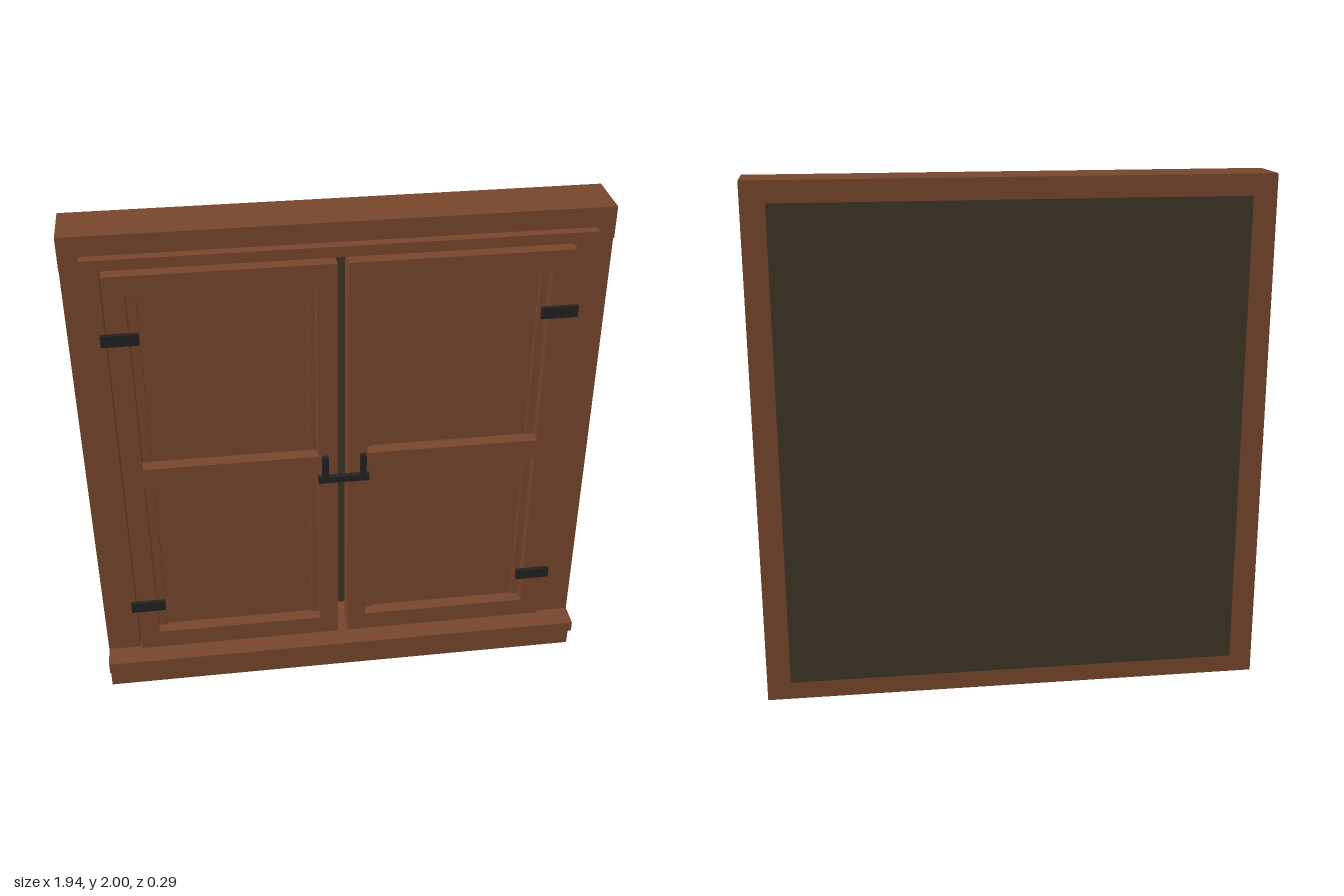
import * as THREE from 'three';

export function createModel() {
  const model = new THREE.Group();
  model.name = 'shutteredWindow';
  const wood = new THREE.MeshStandardMaterial({ name: 'brownWood', color: 0x7a472d });
  const olive = new THREE.MeshStandardMaterial({ name: 'darkOlive', color: 0x403626 });
  const iron = new THREE.MeshStandardMaterial({ name: 'blackIron', color: 0x222222 });

  // box given by its limits on each axis
  const box = (parent, name, mat, [x0, x1], [y0, y1], [z0, z1]) => {
    const mesh = new THREE.Mesh(new THREE.BoxGeometry(x1 - x0, y1 - y0, z1 - z0), mat);
    mesh.position.set((x0 + x1) / 2, (y0 + y1) / 2, (z0 + z1) / 2);
    mesh.name = name;
    parent.add(mesh);
  };
  const span = (side, a, b) => (side > 0 ? [a, b] : [-b, -a]);

  // frame
  const frame = new THREE.Group();
  frame.name = 'frame';
  model.add(frame);
  box(frame, 'lintel', wood, [-0.97, 0.97], [1.88, 2], [-0.143, 0.06]);
  box(frame, 'dripMoulding', wood, [-0.9, 0.9], [1.89, 1.93], [0.068, 0.105]);
  box(frame, 'sill', wood, [-0.97, 0.97], [0, 0.145], [-0.143, 0.107]);
  box(frame, 'sillLip', wood, [-0.97, 0.97], [0.1, 0.146], [0.05, 0.145]);
  for (const s of [1, -1])
    box(frame, s > 0 ? 'leftJamb' : 'rightJamb', wood, span(s, 0.84, 0.97), [0.145, 1.88], [-0.143, 0.05]);

  // backing board, slightly proud of the frame
  box(model, 'backBoard', olive, [-0.88, 0.88], [0.07, 1.92], [-0.145, -0.12]);

  // pair of shutters
  for (const s of [1, -1]) {
    const shutter = new THREE.Group();
    shutter.name = s > 0 ? 'leftShutter' : 'rightShutter';
    model.add(shutter);
    const depth = [-0.02, 0.072];
    box(shutter, 'outerStile', wood, span(s, 0.757, 0.835), [0.155, 1.85], depth);
    box(shutter, 'innerStile', wood, span(s, 0.02, 0.094), [0.155, 1.85], depth);
    for (const rail of [[0.155, 0.235], [0.96, 1.045], [1.77, 1.85]])
      box(shutter, 'rail', wood, span(s, 0.094, 0.757), rail, depth);

    // recessed panels with upright mouldings
    for (const [y0, y1] of [[0.235, 0.96], [1.045, 1.77]]) {
      box(shutter, 'panel', wood, span(s, 0.094, 0.757), [y0, y1], [-0.01, 0.02]);
      for (const [a, b] of [[0.098, 0.124], [0.722, 0.75]])
        box(shutter, 'moulding', wood, span(s, a, b), [y0 + 0.012, y1 - 0.012], [0.02, 0.042]);
    }

    // hinges
    for (const y of [0.392, 1.613])
      box(shutter, 'hinge', iron, span(s, 0.722, 0.857), [y - 0.022, y + 0.022], [0.08, 0.096]);
  }

  // latch
  const latch = new THREE.Group();
  latch.name = 'latch';
  model.add(latch);
  box(latch, 'latchBar', iron, [-0.098, 0.098], [0.945, 0.971], [0.088, 0.11]);
  for (const s of [1, -1])
    box(latch, 'latchHandle', iron, span(s, 0.061, 0.084), [0.962, 1.07], [0.104, 0.126]);

  return model;
}
